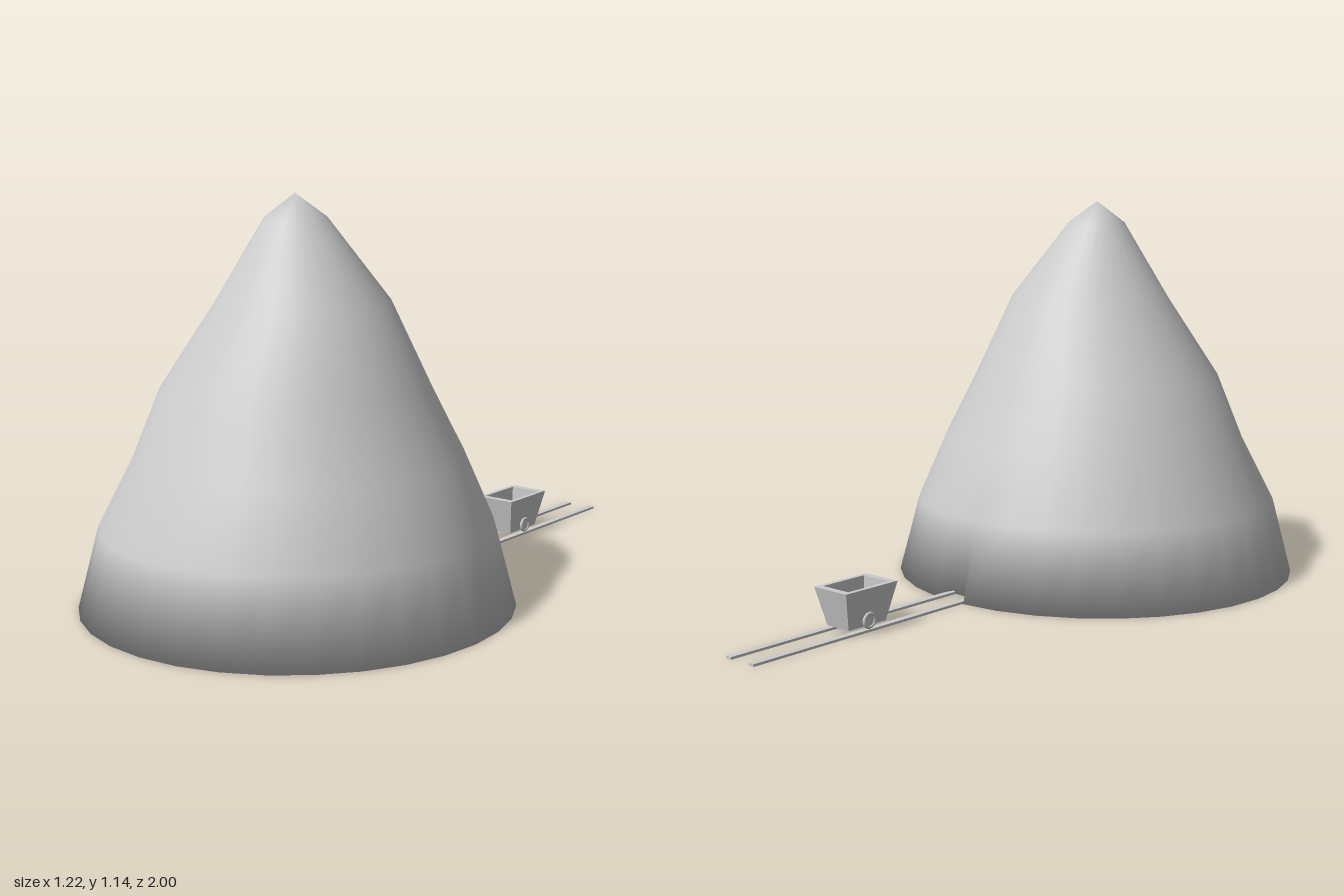
import * as THREE from 'three';

const material = new THREE.MeshStandardMaterial({ color: 0xcccccc });

function addMesh(parent, name, geometry, x = 0, y = 0, z = 0) {
  const mesh = new THREE.Mesh(geometry, material);
  mesh.name = name;
  mesh.position.set(x, y, z);
  parent.add(mesh);
  return mesh;
}

function makeGeometry(positions, index) {
  const g = new THREE.BufferGeometry();
  g.setAttribute('position', new THREE.Float32BufferAttribute(positions, 3));
  g.setIndex(index);
  return g;
}

// Mountain: stacked rings, one base panel pushed inwards as the mine entrance
function mountainGeometry() {
  const sides = 32;
  // height, radius, sideways drift
  const rings = [
    [0, 0.61, 0], [0.23, 0.55, 0], [0.42, 0.46, 0.01],
    [0.615, 0.372, -0.002], [0.85, 0.24, 0.027], [1.075, 0.086, 0.002],
  ];
  const pos = [], index = [];
  const ringPoint = (i, y, r, drift) => {
    const a = (i / sides) * Math.PI * 2;
    pos.push(drift + r * Math.sin(a), y, -r * Math.cos(a));
  };
  for (const [y, r, drift] of rings) {
    for (let i = 0; i < sides; i++) ringPoint(i, y, r, drift);
  }
  const apex = pos.length / 3;
  const centre = apex + 1, inner0 = apex + 2, inner1 = apex + 3;
  pos.push(0, 1.14, 0, 0, 0, 0);
  ringPoint(0, 0, 0.55, 0);
  ringPoint(1, 0, 0.55, 0);

  for (let i = 0; i < sides; i++) {
    const j = (i + 1) % sides;
    for (let k = 0; k < rings.length - 1; k++) {
      const entrance = i === 0 && k === 0;
      const a = entrance ? inner0 : k * sides + i;
      const b = entrance ? inner1 : k * sides + j;
      const c = (k + 1) * sides + i, d = (k + 1) * sides + j;
      index.push(b, a, c, b, c, d);
    }
    const top = (rings.length - 1) * sides;
    index.push(top + j, top + i, apex);
    // underside
    if (i === 0) index.push(centre, inner0, inner1);
    else index.push(centre, i, j);
  }
  // cheeks of the entrance
  index.push(0, sides, inner0, 1, inner1, sides + 1);
  const g = makeGeometry(pos, index);
  g.computeVertexNormals();
  return g;
}

// Open tub lofted through rectangles of [half width, y, half length]
function tubGeometry() {
  const loops = [
    [0, 0.015, 0], [0.042, 0.015, 0.07], [0.063, 0.125, 0.097],
    [0.049, 0.125, 0.076], [0.049, 0.065, 0.076], [0, 0.065, 0],
  ];
  const pos = [], index = [];
  for (const [hx, y, hz] of loops) {
    pos.push(-hx, y, hz, hx, y, hz, hx, y, -hz, -hx, y, -hz);
  }
  for (let k = 0; k < loops.length - 1; k++) {
    for (let i = 0; i < 4; i++) {
      const a = k * 4 + i, b = k * 4 + ((i + 1) % 4);
      if (k > 0) index.push(a, b, b + 4);
      if (k === 0) index.push(a, b + 4, a + 4);
      else if (k < loops.length - 2) index.push(a, b + 4, a + 4);
    }
  }
  const g = makeGeometry(pos, index).toNonIndexed();
  g.computeVertexNormals();
  return g;
}

export function createModel() {
  const model = new THREE.Group();
  model.name = 'mineMountain';
  addMesh(model, 'mountain', mountainGeometry(), 0, 0, 0.39);

  // Rails running from inside the mountain out of the entrance
  const track = new THREE.Group();
  track.name = 'track';
  model.add(track);
  for (const x of [0.013, 0.103]) {
    addMesh(track, 'rail', new THREE.BoxGeometry(0.02, 0.007, 1.13), x, 0.0035, -0.435);
  }

  // Cart with a wheel on each side
  const cart = new THREE.Group();
  cart.name = 'mineCart';
  cart.position.set(0.058, 0, -0.587);
  model.add(cart);
  addMesh(cart, 'tub', tubGeometry());
  const axle = new THREE.CylinderGeometry(0.006, 0.006, 0.1, 12).rotateZ(Math.PI / 2);
  addMesh(cart, 'axle', axle, 0, 0.03, 0);
  for (const side of [-1, 1]) {
    const tyre = new THREE.TorusGeometry(0.019, 0.005, 8, 20).rotateY(Math.PI / 2);
    addMesh(cart, 'wheelRim', tyre, side * 0.05, 0.031, 0);
    const disc = new THREE.CylinderGeometry(0.018, 0.018, 0.006, 20).rotateZ(Math.PI / 2);
    addMesh(cart, 'wheelDisc', disc, side * 0.049, 0.031, 0);
  }
  return model;
}
